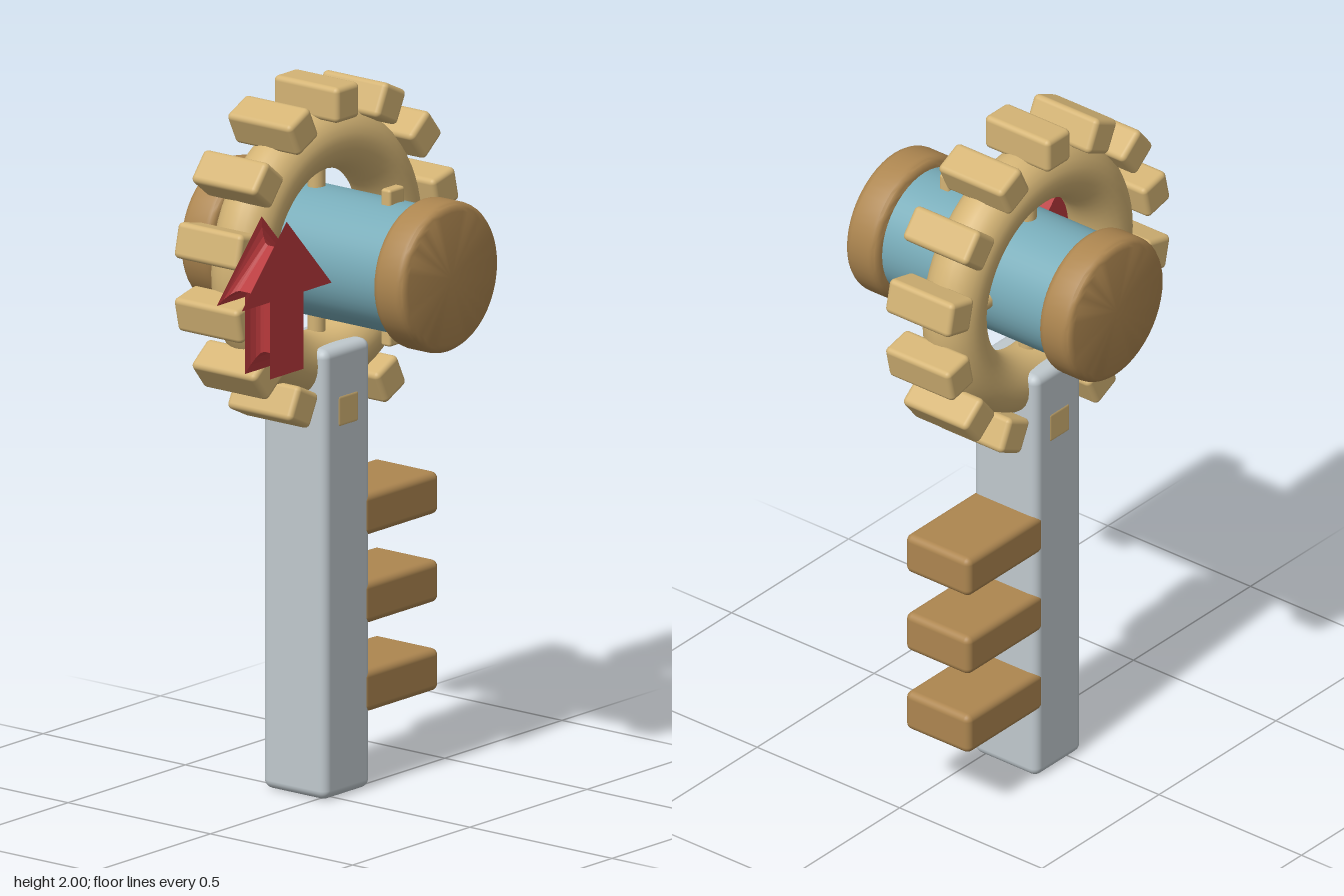
import * as THREE from 'three';
import { RoundedBoxGeometry } from 'three/addons/geometries/RoundedBoxGeometry.js';
import { toCreasedNormals } from 'three/addons/utils/BufferGeometryUtils.js';

const AXIS_X = 0.05, AXIS_Y = 1.52, RING_Z = -0.08;

function paint(name, color) {
  const m = new THREE.MeshStandardMaterial({ color });
  m.name = name;
  return m;
}

export function createModel() {
  const root = new THREE.Group();
  root.name = 'gearKey';
  const brass = paint('brass', 0xd4b475);
  const bronze = paint('bronze', 0xad8650);
  const steel = paint('steel', 0xc0c9ce);
  const teal = paint('teal', 0x78acb9);
  const red = paint('red', 0xb8383b);

  const add = (name, geometry, material, x = 0, y = 0, z = 0, parent = root) => {
    const mesh = new THREE.Mesh(geometry, material);
    mesh.name = name;
    mesh.position.set(x, y, z);
    parent.add(mesh);
    return mesh;
  };
  const block = (w, h, d, r) => new RoundedBoxGeometry(w, h, d, 3, r);

  // Shaft with three bits on its left side
  add('shaft', block(0.2, 1.265, 0.224, 0.025), steel, AXIS_X, 0.6375, RING_Z);
  for (const y of [0.772, 0.524, 0.275]) {
    add('bit', block(0.325, 0.119, 0.226, 0.02), bronze, 0.278, y, RING_Z);
  }

  // Head: everything centred on the barrel axis
  const head = new THREE.Group();
  head.name = 'head';
  head.position.set(AXIS_X, AXIS_Y, 0);
  root.add(head);

  // Gear ring and its fourteen teeth
  add('ring', new THREE.TorusGeometry(0.3125, 0.0875, 24, 64), brass, 0, 0, RING_Z, head);
  const toothShape = block(0.1, 0.1, 0.227, 0.015);
  for (let i = 0; i < 14; i++) {
    const a = (i / 14) * Math.PI * 2;
    const tooth = add('tooth', toothShape, brass, Math.sin(a) * 0.43, Math.cos(a) * 0.43, RING_Z, head);
    tooth.rotation.z = -a;
  }

  // Barrel running front to back
  const barrel = new THREE.CylinderGeometry(0.18, 0.18, 0.7, 48).rotateX(Math.PI / 2);
  add('barrel', barrel, teal, 0, 0, 0, head);

  // Rounded end caps
  const R = 0.21, half = 0.056, c = 0.025;
  const profile = [new THREE.Vector2(0, -half)];
  for (const [side, start] of [[-1, -Math.PI / 2], [1, 0]]) {
    for (let i = 0; i <= 4; i++) {
      const t = start + (i / 4) * Math.PI / 2;
      profile.push(new THREE.Vector2(R - c + Math.cos(t) * c, side * (half - c) + Math.sin(t) * c));
    }
  }
  profile.push(new THREE.Vector2(0, half));
  const cap = toCreasedNormals(new THREE.LatheGeometry(profile, 48).rotateX(Math.PI / 2), 0.6);
  for (const s of [1, -1]) add(s > 0 ? 'frontCap' : 'backCap', cap, bronze, 0, 0, s * 0.339, head);

  // Spokes joining barrel and ring
  for (let i = 0; i < 4; i++) {
    const a = i * Math.PI / 2;
    const spoke = add('spoke', new THREE.CylinderGeometry(0.025, 0.025, 0.08, 16), brass,
      Math.sin(a) * 0.192, Math.cos(a) * 0.192, RING_Z, head);
    spoke.rotation.z = -a;
  }

  // Pin through the front half of the barrel
  add('pin', block(0.065, 0.442, 0.034, 0.008), brass, 0, 0, 0.188, head);

  // Arrow with hollowed edges: the bevel goes inwards
  const outline = [[-0.071, 1.287], [0.071, 1.287], [0.071, 1.504], [0.192, 1.504],
    [0, 1.716], [-0.192, 1.504], [-0.071, 1.504]];
  const arrow = new THREE.ExtrudeGeometry(
    new THREE.Shape(outline.map(([x, y]) => new THREE.Vector2(x, y))),
    { depth: 0.044, bevelEnabled: true, bevelThickness: 0.022, bevelSize: -0.055, bevelSegments: 4 });
  add('arrow', arrow, red, -0.336, 0, 0.067);

  return root;
}
